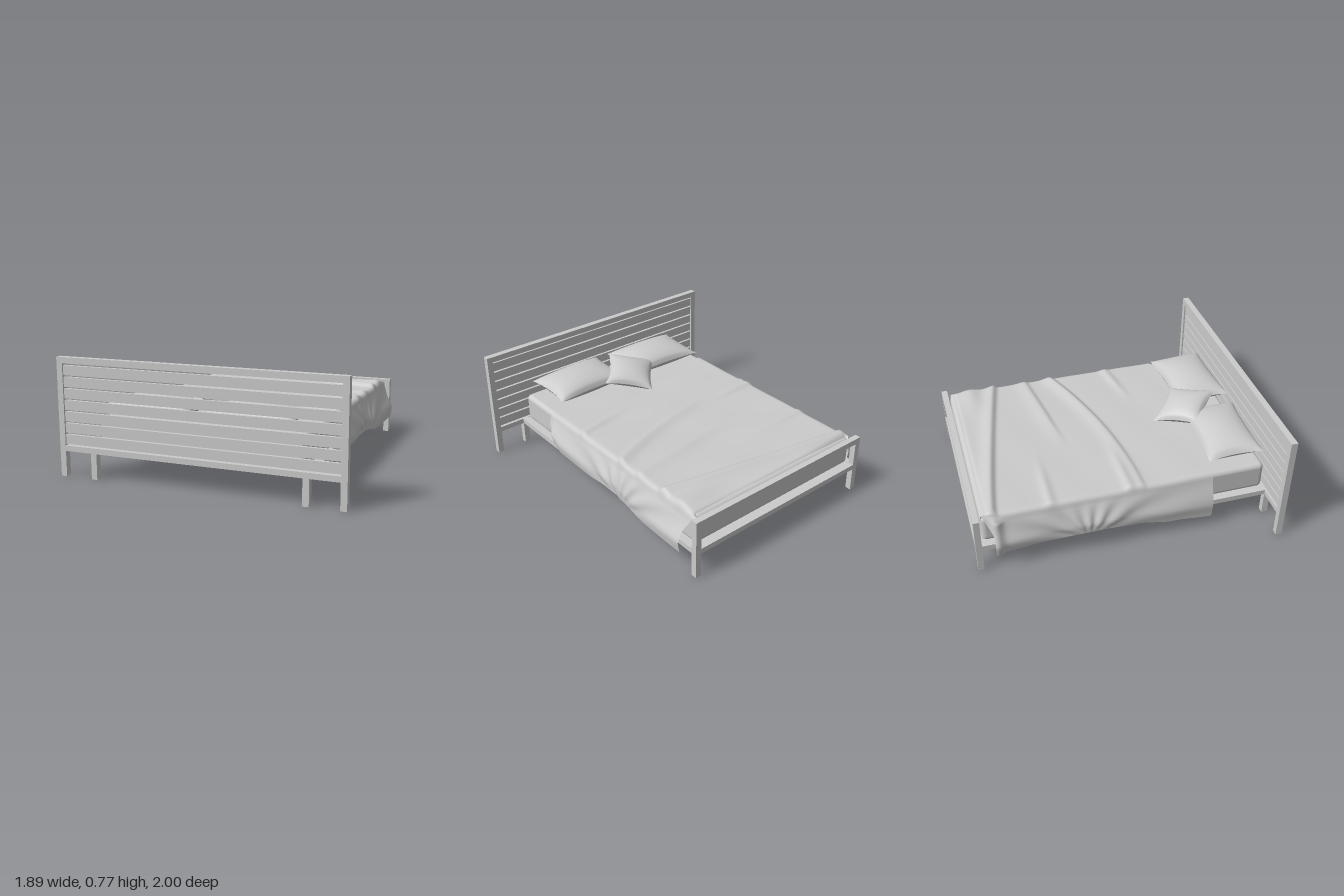
import * as THREE from 'three';
import { RoundedBoxGeometry } from 'three/addons/geometries/RoundedBoxGeometry.js';

const material = new THREE.MeshStandardMaterial({ color: 0xcccccc });
const cloth = new THREE.MeshStandardMaterial({ color: 0xcccccc, side: THREE.DoubleSide });
const T = 0.04; // square section of the frame bars

function add(parent, name, geometry, mat = material) {
  const mesh = new THREE.Mesh(geometry, mat);
  mesh.name = name;
  parent.add(mesh);
  return mesh;
}

// Box given by its limits on each axis
function bar(parent, name, x0, x1, y0, y1, z0, z1) {
  const mesh = add(parent, name, new THREE.BoxGeometry(x1 - x0, y1 - y0, z1 - z0));
  mesh.position.set((x0 + x1) / 2, (y0 + y1) / 2, (z0 + z1) / 2);
}

// Piecewise-linear lookup through [position, value] pairs, smoothed per segment
function lookup(points, p) {
  if (p <= points[0][0]) return points[0][1];
  for (let i = 1; i < points.length; i++) {
    const [a, va] = points[i - 1], [b, vb] = points[i];
    if (p <= b) return va + (vb - va) * THREE.MathUtils.smoothstep(p, a, b);
  }
  return points[points.length - 1][1];
}

const bump = (d, w) => Math.exp(-(d * d) / (w * w));

// Fold that is steep towards the head and gentle towards the foot
const fold = (d) => (d > 0 ? bump(d, 0.018) : bump(d, 0.06));

function headboard() {
  const g = new THREE.Group();
  g.name = 'headboard';
  const z0 = 0.957, z1 = 1, w = 0.945;
  for (const s of [-1, 1]) {
    const x = s * (w - T / 2), leg = s * 0.7;
    bar(g, 'headPost', x - T / 2, x + T / 2, 0, 0.77, z0, z1);
    bar(g, 'innerLeg', leg - T / 2, leg + T / 2, 0, 0.17, z0, z1);
  }
  bar(g, 'headTopRail', -w + T, w - T, 0.73, 0.77, z0, z1);
  bar(g, 'headBottomRail', -w + T, w - T, 0.167, 0.203, z0, z1);
  for (let i = 0; i < 7; i++) {
    const y = 0.211 + i * 0.0738;
    bar(g, 'headSlat', -w + T, w - T, y, y + 0.063, 0.967, 0.99);
  }
  return g;
}

function bedFrame() {
  const g = new THREE.Group();
  g.name = 'bedFrame';
  for (const s of [-1, 1]) {
    const x = s * 0.7;
    bar(g, 'sideRail', x - T / 2, x + T / 2, 0.167, 0.203, -0.96, 0.957);
    bar(g, 'footPost', x - T / 2, x + T / 2, 0, 0.41, -1, -0.96);
  }
  bar(g, 'footTopRail', -0.68, 0.68, 0.37, 0.41, -1, -0.96);
  bar(g, 'footBottomRail', -0.68, 0.68, 0.167, 0.203, -1, -0.96);
  bar(g, 'baseBoard', -0.68, 0.68, 0.18, 0.2, -0.96, 0.957);
  return g;
}

// Lower hem of the blanket along z on each side
const hemRight = [[-0.88, 0.14], [-0.5, 0.13], [-0.27, 0.165], [-0.2, 0.195], [0.1, 0.165], [0.42, 0.175], [0.6, 0.25]];
const hemLeft = [[-0.88, 0.14], [-0.5, 0.15], [-0.2, 0.17], [0.05, 0.145], [0.3, 0.105], [0.6, 0.08]];
// Outer reach of the hem in x
const reachRight = [[-0.88, 0.75], [-0.3, 0.73], [0.0, 0.73], [0.4, 0.735], [0.52, 0.73], [0.6, 0.695]];
const reachLeft = [[-0.88, 0.745], [-0.5, 0.73], [-0.2, 0.75], [0.05, 0.735], [0.6, 0.735]];

// Height of the creases on the top of the blanket
function creases(x, z) {
  const k = THREE.MathUtils.clamp((x + 0.68) / 1.36, 0, 1);
  let h = 0.026 * fold(z - (-0.87 + 0.25 * Math.pow(k, 1.15)));
  h += 0.022 * fold(z - (0.1 - 0.3 * k * k)) * (0.5 + 0.5 * k);
  h += 0.014 * fold(z - (-0.2 - 0.19 * k)) * THREE.MathUtils.smoothstep(k, 0.35, 0.7);
  h += 0.014 * bump(z - 0.02 + 0.03 * k, 0.03) * (1 - THREE.MathUtils.smoothstep(k, 0.1, 0.4));
  h += 0.012 * bump(z + 0.5 - 0.03 * k, 0.03) * (1 - THREE.MathUtils.smoothstep(k, 0.1, 0.4));
  h += 0.012 * bump(z - 0.3 + 0.25 * (k - 0.7), 0.03) * THREE.MathUtils.smoothstep(k, 0.65, 0.9);
  h += 0.02 * bump(z + 0.8, 0.07) * THREE.MathUtils.smoothstep(k, 0.7, 1);
  return h + 0.002 * (1 + Math.sin(9 * x + 5 * z) * Math.sin(11 * z - 3 * x));
}

// Sheet draped over the mattress: flat top, rounded edges, hanging sides
function blanket() {
  const geo = new THREE.PlaneGeometry(1, 1, 120, 130);
  const pos = geo.attributes.position, uv = geo.attributes.uv;
  for (let i = 0; i < pos.count; i++) {
    const a = uv.getX(i) * 2 - 1, v = uv.getY(i), s = Math.sign(a) || 1;
    const t = Math.max(0, (Math.abs(a) - 0.72) / 0.28);
    const headZ = 0.59 + 0.015 * a, footZ = t > 0 ? -0.95 + 0.07 * Math.min(1, t * 2) : -0.95;
    const z = headZ + (footZ - headZ) * v;
    let x, y;
    if (t === 0) {
      x = (a / 0.72) * 0.655;
      y = 0.405 + creases(x, z);
    } else if (t < 0.22) {
      const q = (t / 0.22) * Math.PI / 2;
      x = s * (0.655 + 0.035 * Math.sin(q));
      y = 0.37 + 0.035 * Math.cos(q) + creases(x, z) * Math.cos(q);
    } else {
      const d = (t - 0.22) / 0.78;
      y = 0.37 + (lookup(s > 0 ? hemRight : hemLeft, z) - 0.37) * d;
      // Folds fan out from a gathered point low on the side
      const fan = Math.sin(13 * Math.atan2(y - 0.12, z + 0.27));
      const reach = lookup(s > 0 ? reachRight : reachLeft, z);
      x = 0.69 + (reach - 0.69) * Math.min(1, d * 1.5) + 0.007 * (fan + 1) * Math.sin(d * Math.PI);
      // Bunched roll at the foot corner
      if (s < 0) x += 0.035 * bump(z + 0.86, 0.035) * (1 - 0.5 * d);
      x *= s;
    }
    // The foot end tucks down behind the footboard
    if (t === 0) y -= 0.05 * Math.pow(THREE.MathUtils.smoothstep(v, 0.96, 1), 2);
    pos.setXYZ(i, x, y, z);
  }
  geo.computeVertexNormals();
  return geo;
}

// Cushion with pinched corners: two bulging faces that meet in a seam
function pillow(parent, name, w, d, h, pinch) {
  const g = new THREE.Group();
  g.name = name;
  for (const side of [1, -1]) {
    const geo = new THREE.PlaneGeometry(2, 2, 28, 28).rotateX(-side * Math.PI / 2);
    const pos = geo.attributes.position;
    for (let i = 0; i < pos.count; i++) {
      const u = pos.getX(i), v = pos.getZ(i);
      const fu = 1 - u * u, fv = 1 - v * v;
      pos.setXYZ(i, (w / 2) * u * (1 - pinch * fv), side * (h / 2) * Math.pow(Math.max(0, fu * fv), 0.5),
        (d / 2) * v * (1 - pinch * fu));
    }
    geo.computeVertexNormals();
    add(g, name + (side > 0 ? 'Top' : 'Bottom'), geo, cloth);
  }
  parent.add(g);
  return g;
}

export function createModel() {
  const model = new THREE.Group();
  model.name = 'bed';
  model.add(headboard(), bedFrame());

  add(model, 'mattress', new RoundedBoxGeometry(1.36, 0.2, 1.9, 4, 0.035)).position.set(0, 0.3, 0);
  add(model, 'blanket', blanket(), cloth);

  // Two sleeping pillows and a small cushion leaning on them
  for (const [name, x, z] of [['leftPillow', 0.315, 0.78], ['rightPillow', -0.345, 0.77]]) {
    const p = pillow(model, name, 0.58, 0.38, 0.15, 0.08);
    p.position.set(x, 0.473, z);
    p.rotation.set(-0.04, Math.sign(x) * 0.03, 0);
  }
  const cushion = pillow(model, 'cushion', 0.345, 0.345, 0.13, 0.12);
  cushion.position.set(-0.025, 0.483, 0.62);
  cushion.rotation.set(-0.27, Math.PI / 4 + 0.1, 0, 'XYZ');
  return model;
}
